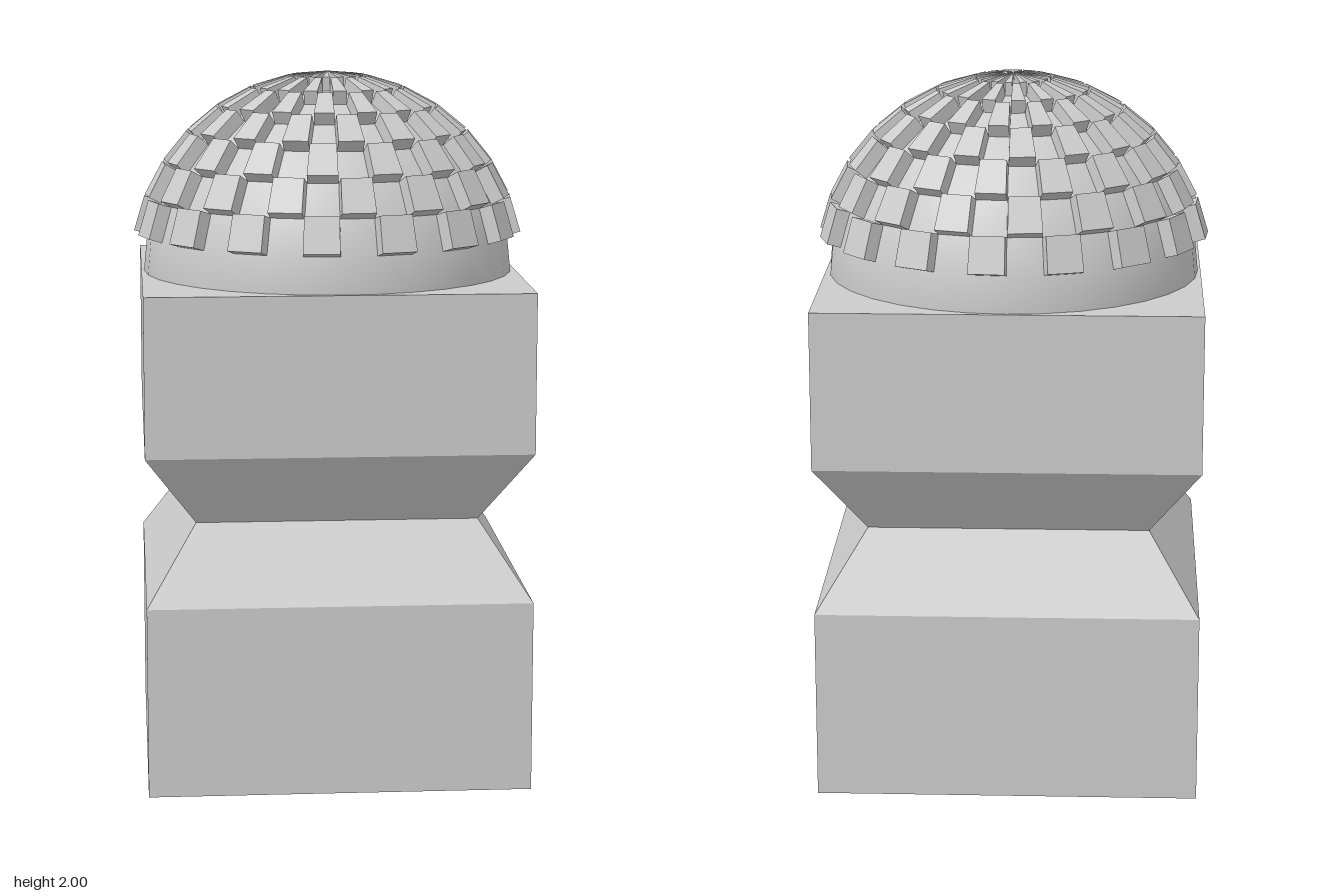
import * as THREE from 'three';

const RADIUS = 0.535, DOME_Y = 1.425, STUD = 0.04;
const COLUMNS = 32, ROWS = 7, STEP = Math.PI / 16;

// Point on the dome: theta down from the pole, phi from +x towards +z
function onDome(theta, phi, r = RADIUS) {
  return new THREE.Vector3(
    r * Math.sin(theta) * Math.cos(phi), r * Math.cos(theta), r * Math.sin(theta) * Math.sin(phi));
}

// One dome cell pushed straight out along its normal
function addStud(positions, row, column) {
  const t0 = row * STEP, t1 = t0 + STEP, p0 = column * STEP, p1 = p0 + STEP;
  const base = [onDome(t0, p0), onDome(t1, p1), onDome(t1, p0)];
  if (row > 0) base.splice(1, 0, onDome(t0, p1));
  const push = onDome((t0 + t1) / 2, (p0 + p1) / 2, STUD);
  const top = base.map(v => v.clone().add(push));
  const tri = (...corners) => corners.forEach(v => positions.push(v.x, v.y, v.z));
  for (let i = 1; i < top.length - 1; i++) tri(top[0], top[i], top[i + 1]);
  base.forEach((a, i) => {
    const j = (i + 1) % base.length;
    tri(a, base[j], top[j]);
    tri(a, top[j], top[i]);
  });
}

export function createModel() {
  const group = new THREE.Group();
  const material = new THREE.MeshStandardMaterial({ color: 0xcccccc });
  const add = (name, geometry, y = 0) => {
    const mesh = new THREE.Mesh(geometry, material);
    mesh.name = name;
    mesh.position.y = y;
    group.add(mesh);
  };

  // Square pillar pinched at the waist: half width and height pairs
  const profile = [[0, 0], [0.543, 0], [0.543, 0.545], [0.4, 0.76], [0.543, 0.972], [0.543, DOME_Y], [0, DOME_Y]]
    .map(([half, y]) => new THREE.Vector2(half * Math.SQRT2, y));
  const pillar = new THREE.LatheGeometry(profile, 4, Math.PI / 4).toNonIndexed();
  pillar.computeVertexNormals();
  add('pillar', pillar);

  // Smooth dome
  add('dome', new THREE.SphereGeometry(RADIUS, COLUMNS, 8, 0, Math.PI * 2, 0, Math.PI / 2), DOME_Y);

  // Chequered studs, leaving the lowest row of the dome bare
  const positions = [];
  for (let row = 0; row < ROWS; row++)
    for (let column = row % 2; column < COLUMNS; column += 2) addStud(positions, row, column);
  const studs = new THREE.BufferGeometry();
  studs.setAttribute('position', new THREE.Float32BufferAttribute(positions, 3));
  studs.computeVertexNormals();
  add('domeStuds', studs, DOME_Y);

  return group;
}
